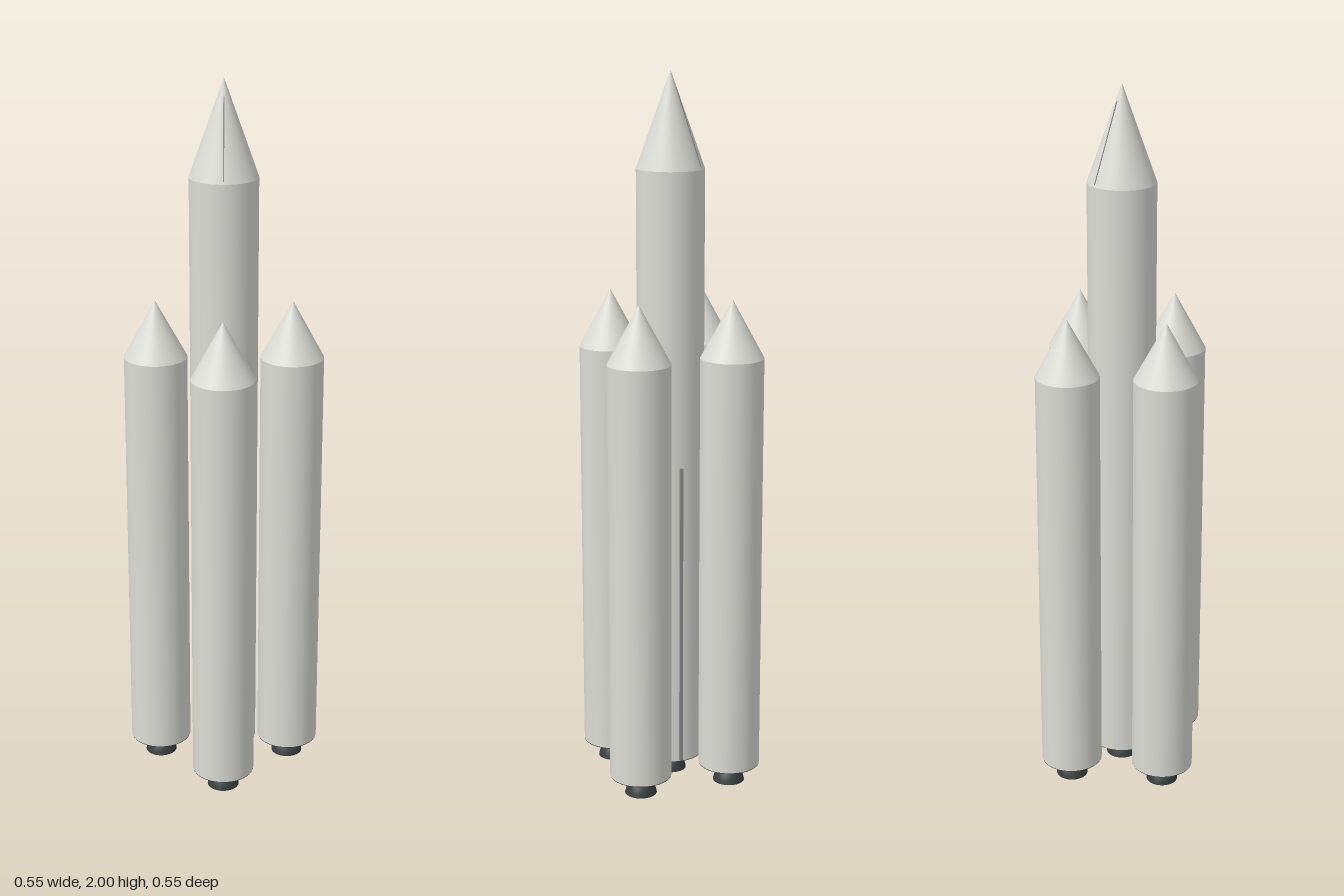
import * as THREE from 'three';

const hull = new THREE.MeshStandardMaterial({ name: 'hull white', color: 0xdcdcd6 });
const dark = new THREE.MeshStandardMaterial({ name: 'engine dark', color: 0x363d3d, side: THREE.DoubleSide });
const grey = new THREE.MeshStandardMaterial({ name: 'conduit grey', color: 0x8c8c8c });

const SEG = 48;
const BASE = 0.057;

function add(parent, name, geometry, material, x = 0, y = 0, z = 0) {
  const mesh = new THREE.Mesh(geometry, material);
  mesh.name = name;
  mesh.position.set(x, y, z);
  parent.add(mesh);
  return mesh;
}

// Bell with a narrow throat, flaring up to its mount and down to its mouth
const nozzleProfile = [
  [0.034, BASE], [0.026, 0.052], [0.017, 0.044], [0.027, 0.035],
  [0.036, 0.024], [0.042, 0.012], [0.045, 0],
].map(([r, y]) => new THREE.Vector2(r, y)).reverse();

// One stage: tank, pointed nose, dark base plate and nozzle
function makeStage(name, radius, shoulder, tip) {
  const stage = new THREE.Group();
  stage.name = name;
  const height = shoulder - BASE;
  add(stage, 'tank', new THREE.CylinderGeometry(radius, radius, height, SEG, 1, true), hull, 0, BASE + height / 2);
  add(stage, 'noseCone', new THREE.ConeGeometry(radius, tip - shoulder, SEG, 1, true), hull, 0, (tip + shoulder) / 2);
  add(stage, 'basePlate', new THREE.CylinderGeometry(radius * 0.995, radius * 0.995, 0.004, SEG), dark, 0, BASE);
  add(stage, 'nozzle', new THREE.LatheGeometry(nozzleProfile, 32), dark);
  return stage;
}

export function createModel() {
  const rocket = new THREE.Group();
  rocket.name = 'rocket';

  // Core stage
  const core = makeStage('coreStage', 0.093, 1.74, 2);
  rocket.add(core);

  // Fairing seams, front and back, lying along the nose slope
  const slope = Math.atan2(0.093, 0.26);
  for (const side of [1, -1]) {
    const seam = add(core, 'fairingSeam', new THREE.BoxGeometry(0.003, 0.22, 0.002), grey, 0, 1.85, side * 0.0537);
    seam.rotation.x = -side * slope;
  }

  // Cable conduits on two opposite diagonals
  for (const side of [1, -1]) {
    const conduit = add(core, 'conduit', new THREE.BoxGeometry(0.009, 0.87, 0.009), grey, side * 0.067, 0.495, -side * 0.067);
    conduit.rotation.y = Math.PI / 4;
  }

  // Four boosters around the core
  for (let i = 0; i < 4; i++) {
    const a = i * Math.PI / 2;
    const booster = makeStage('booster', 0.087, 1.24, 1.4);
    booster.position.set(Math.cos(a) * 0.187, 0, Math.sin(a) * 0.187);
    rocket.add(booster);
  }
  return rocket;
}
